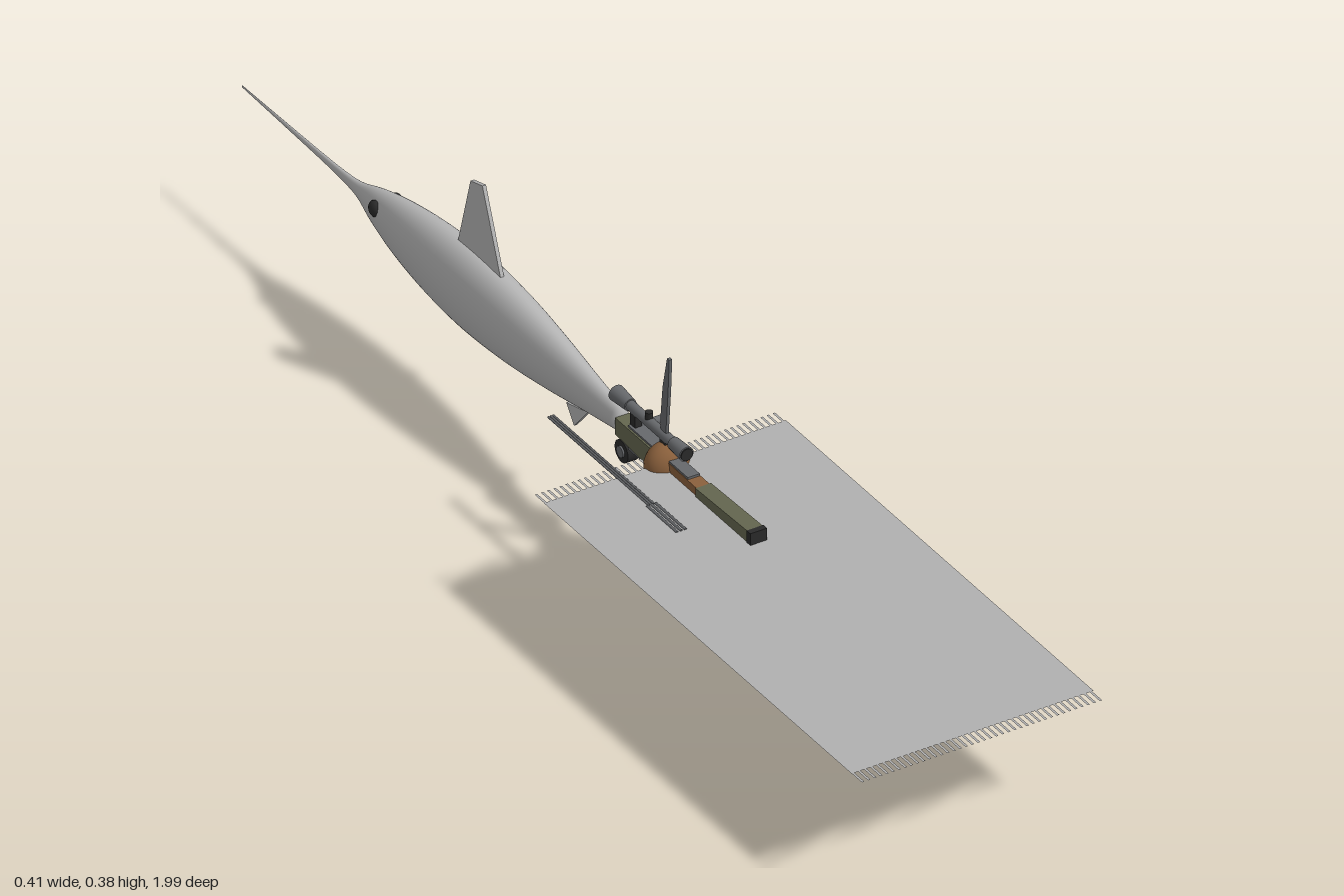
import * as THREE from 'three';

const mat = (name, color, extra = {}) => Object.assign(new THREE.MeshStandardMaterial({ color, ...extra }), { name });

export function createModel() {
  const g = new THREE.Group();
  g.name = 'model';
  const skin = mat('fish grey', 0xb4b4b4);
  const cloth = mat('rug grey', 0xb0b0b0, { side: THREE.DoubleSide });
  const black = mat('black', 0x2a2a2a);
  const steel = mat('steel', 0x66686b);
  const olive = mat('olive', 0x64664f);
  const brown = mat('brown', 0x8a603c);
  const brass = mat('brass', 0xcfa850);

  const add = (name, geo, m, x = 0, y = 0, z = 0) => {
    const mesh = new THREE.Mesh(geo, m);
    mesh.name = name;
    mesh.position.set(x, y, z);
    g.add(mesh);
    return mesh;
  };
  // Box given by its z and y ranges, centred on x
  const box = (name, w, y0, y1, z0, z1, m, x = 0) =>
    add(name, new THREE.BoxGeometry(w, y1 - y0, z1 - z0), m, x, (y0 + y1) / 2, (z0 + z1) / 2);
  // Side outline of [z, y] points, extruded across x
  const plate = (name, pts, w, m) => {
    const s = new THREE.Shape(pts.map(([z, y]) => new THREE.Vector2(-z, y)));
    const geo = new THREE.ExtrudeGeometry(s, { depth: w, bevelEnabled: false });
    return add(name, geo.rotateY(Math.PI / 2).translate(-w / 2, 0, 0), m);
  };
  // Cylinder along z, from z0 to z1
  const rod = (name, r0, r1, z0, z1, x, y, m, n = 20) =>
    add(name, new THREE.CylinderGeometry(r1, r0, z1 - z0, n).rotateX(Math.PI / 2), m, x, y, (z0 + z1) / 2);
  const cross = (name, r, w, x, y, z, m) =>
    add(name, new THREE.CylinderGeometry(r, r, w, 24).rotateZ(Math.PI / 2), m, x, y, z);

  // Fish body: spindle of half-heights, flattened sideways
  const curve = new THREE.SplineCurve([
    [0.019, -0.03], [0.033, 0.06], [0.048, 0.15], [0.061, 0.25], [0.067, 0.36], [0.062, 0.46],
    [0.049, 0.55], [0.032, 0.62], [0.015, 0.67], [0.009, 0.71], [0.006, 0.77], [0.004, 0.86], [0.0015, 0.99],
  ].map(p => new THREE.Vector2(...p)));
  const profile = [new THREE.Vector2(0, -0.03), ...curve.getPoints(60), new THREE.Vector2(0, 0.99)];
  add('fishBody', new THREE.LatheGeometry(profile, 40).rotateX(-Math.PI / 2).scale(0.6, 1, 1), skin, 0, 0.19, 0);
  plate('dorsalFin', [[-0.29, 0.245], [-0.342, 0.383], [-0.374, 0.374], [-0.41, 0.245]], 0.006, skin);
  plate('bellyFin', [[-0.06, 0.155], [-0.097, 0.112], [-0.118, 0.14]], 0.005, skin);
  plate('rearBellyFin', [[-0.31, 0.13], [-0.335, 0.116], [-0.37, 0.128]], 0.005, skin);
  cross('sideBolt', 0.008, 0.014, 0.04, 0.178, -0.35, skin);
  for (const s of [-1, 1]) add('eye', new THREE.SphereGeometry(0.013, 16, 12).scale(0.7, 1, 1), black, s * 0.018, 0.203, -0.605);

  // Stock, butt pad and receiver
  plate('stock', [[0.245, 0.2], [0.245, 0.166], [0.385, 0.126], [0.385, 0.205]], 0.026, olive);
  box('buttPad', 0.028, 0.123, 0.206, 0.384, 0.394, black);
  plate('stockNeck', [[0.25, 0.199], [0.25, 0.167], [0.23, 0.17], [0.17, 0.165], [0.17, 0.2]], 0.022, brown);
  box('receiver', 0.02, 0.162, 0.203, 0.06, 0.22, steel);
  plate('handguard', [[0.13, 0.2], [0.13, 0.165], [0.03, 0.172], [0.03, 0.2]], 0.026, olive);
  rod('barrel', 0.009, 0.009, -0.01, 0.08, 0, 0.19, steel);
  plate('grip', [[0.165, 0.168], [0.17, 0.125], [0.195, 0.12], [0.19, 0.168]], 0.018, olive);
  plate('magazine', [[0.147, 0.165], [0.142, 0.095], [0.116, 0.103], [0.118, 0.165]], 0.018, black);
  box('lowerRail', 0.024, 0.112, 0.122, 0.118, 0.144, olive);
  cross('wheel', 0.018, 0.018, 0, 0.147, 0.04, black);
  cross('wheelHub', 0.009, 0.024, 0, 0.147, 0.04, steel);
  box('wheelStrut', 0.008, 0.147, 0.175, 0.036, 0.046, steel);

  // Scope with mounts and turret
  rod('scopeTube', 0.008, 0.008, 0.03, 0.18, 0, 0.228, steel);
  rod('scopeFront', 0.013, 0.01, 0.012, 0.05, 0, 0.228, steel);
  rod('scopeEyepiece', 0.01, 0.012, 0.165, 0.2, 0, 0.228, steel);
  rod('scopeLens', 0.01, 0.01, 0.2, 0.202, 0, 0.228, black);
  for (const z of [0.065, 0.145]) box('scopeMount', 0.012, 0.2, 0.224, z - 0.007, z + 0.007, black);
  cross('scopeTurret', 0.006, 0.022, 0.01, 0.226, 0.1, steel);
  add('scopeKnob', new THREE.CylinderGeometry(0.006, 0.006, 0.014, 16), black, 0, 0.238, 0.1);

  // Propeller hub and two swept blades
  add('propellerHub', new THREE.SphereGeometry(0.035, 24, 16).scale(1, 1, 0.8), brown, 0, 0.184, 0.147);
  const up = [[0.138, 0.21], [0.134, 0.25], [0.14, 0.31], [0.152, 0.365], [0.158, 0.365], [0.155, 0.31], [0.15, 0.25], [0.148, 0.21]];
  plate('upperBlade', up, 0.005, steel);
  plate('lowerBlade', up.map(([z, y]) => [z, 0.371 - y]), 0.005, steel);
  box('bladeTip', 0.006, 0, 0.008, 0.151, 0.159, black);

  // Flat rug with fringed ends
  const flat = (name, w, d, x, z) => add(name, new THREE.PlaneGeometry(w, d).rotateX(-Math.PI / 2), cloth, x, 0.186, z);
  flat('rug', 0.405, 0.825, -0.002, 0.558);
  for (let i = 0; i < 40; i++) {
    const x = -0.202 + i * 0.0102;
    flat('backFringe', 0.004, 0.025, x, 0.133);
    flat('frontFringe', 0.004, 0.027, x, 0.984);
  }

  // Three thin rods beside the rifle
  for (let i = -1; i < 2; i++) {
    rod('thinRod', 0.0018, 0.0018, -0.04, 0.23, -0.077 + i * 0.004, 0.186, steel, 8);
    rod('rodHandle', 0.0022, 0.0022, 0.23, 0.31, -0.077 + i * 0.007, 0.186, steel, 8);
  }

  // Row of cartridges, points down
  const shell = [[0, 0], [0.0015, 0.003], [0.0025, 0.01], [0.0035, 0.014], [0.0035, 0.04], [0, 0.04]]
    .map(p => new THREE.Vector2(...p));
  for (let i = 0; i < 4; i++) add('cartridge', new THREE.LatheGeometry(shell, 14), brass, 0.088 + i * 0.0088, 0.145, 0.148);
  return g;
}
